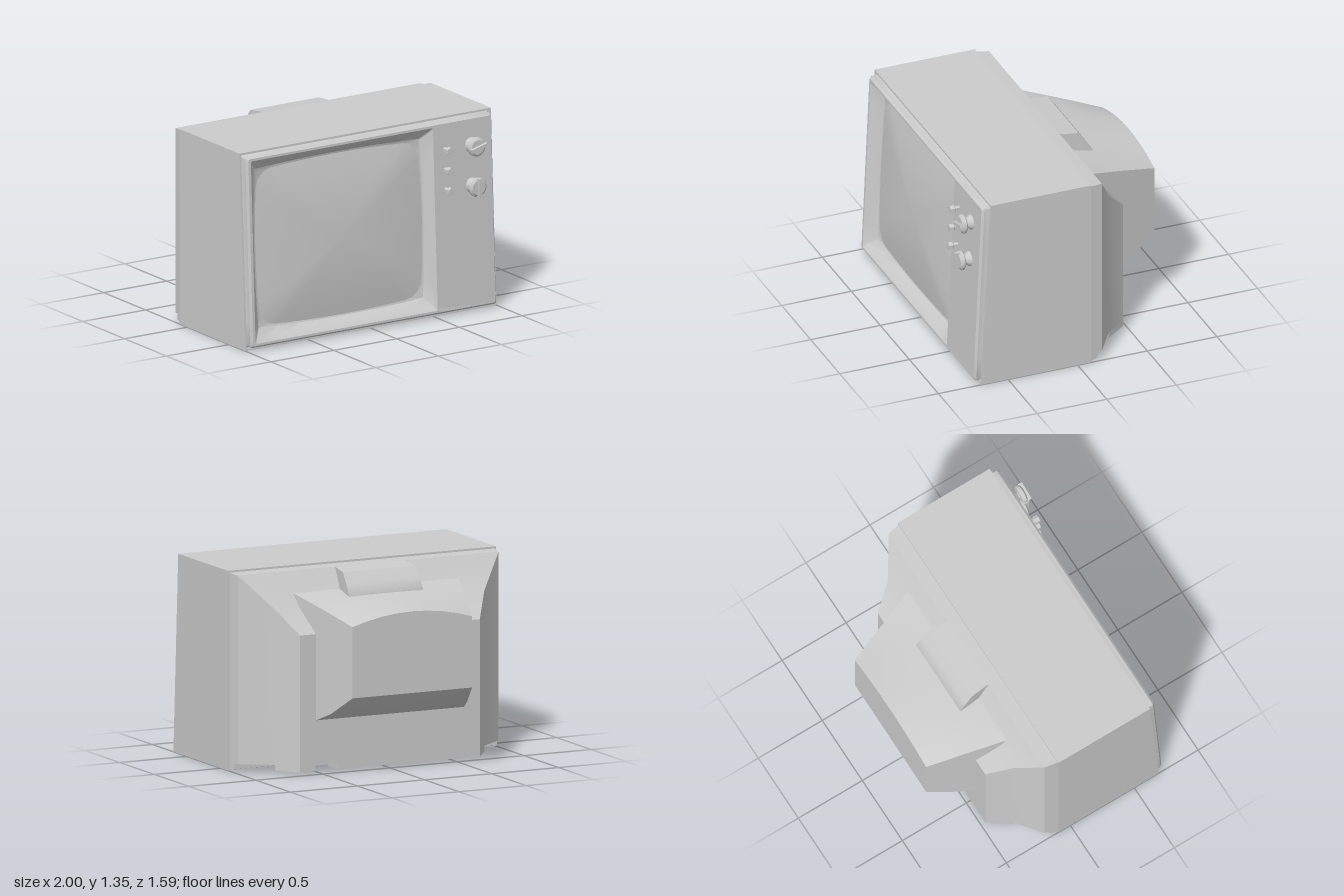
import * as THREE from 'three';
import { toCreasedNormals } from 'three/addons/utils/BufferGeometryUtils.js';

const grey = new THREE.MeshStandardMaterial({ color: 0xcccccc });

function add(parent, name, geometry, x = 0, y = 0, z = 0) {
  const mesh = new THREE.Mesh(geometry, grey);
  mesh.name = name;
  mesh.position.set(x, y, z);
  parent.add(mesh);
  return mesh;
}

// Skin over closed loops, each counterclockwise seen from +z; a start cap faces backwards
function loft(rings, { capStart = false, capEnd = false, crease = 0.5 } = {}) {
  const n = rings[0].length, index = [], pts = rings.flat();
  for (let i = 0; i < rings.length - 1; i++) {
    for (let j = 0; j < n; j++) {
      const a = i * n + j, b = i * n + (j + 1) % n;
      index.push(a, b, b + n, a, b + n, a + n);
    }
  }
  const cap = (start, flip) => {
    const c = new THREE.Vector3();
    for (let j = 0; j < n; j++) c.addScaledVector(pts[start + j], 1 / n);
    pts.push(c);
    for (let j = 0; j < n; j++) {
      const a = start + j, b = start + (j + 1) % n;
      index.push(pts.length - 1, flip ? b : a, flip ? a : b);
    }
  };
  if (capStart) cap(0, true);
  if (capEnd) cap((rings.length - 1) * n, false);
  const g = new THREE.BufferGeometry().setFromPoints(pts);
  g.setIndex(index);
  return toCreasedNormals(g, crease);
}

// Rectangle loop with rounded corners and bowed sides; z is a function of y
function loop(x0, x1, y0, y1, z, r = 0.004, bow = 0) {
  const cx = (x0 + x1) / 2, cy = (y0 + y1) / 2, w = (x1 - x0) / 2, h = (y1 - y0) / 2;
  const flat = [];
  const signs = [[1, -1], [1, 1], [-1, 1], [-1, -1]];
  signs.forEach(([sx, sy], k) => {
    for (let i = 0; i <= 4; i++) {
      const a = (k - 1 + i / 4) * Math.PI / 2;
      flat.push([sx * (w - r) + r * Math.cos(a), sy * (h - r) + r * Math.sin(a)]);
    }
    const [px, py] = flat[flat.length - 1];
    const along = k % 2 === 0 ? [px, -py] : [-px, py];
    for (let i = 1; i < 8; i++) {
      const t = i / 8;
      flat.push([px + (along[0] - px) * t, py + (along[1] - py) * t]);
    }
  });
  return flat.map(([x, y]) => {
    const u = x / w, v = y / h;
    const X = cx + x + u * bow * (1 - v * v), Y = cy + y + v * bow * (1 - u * u);
    return new THREE.Vector3(X, Y, z(Y));
  });
}

const box = (hw, y0, y1, z, cx = 0) => [[hw, y0], [hw, y1], [-hw, y1], [-hw, y0]]
  .map(([x, y]) => new THREE.Vector3(cx + x, y, typeof z === 'function' ? z(y) : z));

export function createModel() {
  const tv = new THREE.Group();
  tv.name = 'television';
  const rim = d => y => 0.693 - 0.052 * y + d;
  const face = d => y => 0.735 - 0.045 * y + d;

  // Outer cabinet sleeve with a leaning front
  add(tv, 'cabinet', loft([
    box(1, 0, 1.345, -0.095), box(1, 0, 1.345, rim(0)),
    box(0.987, 0.014, 1.331, rim(0)), box(0.987, 0.014, 1.331, rim(-0.06)),
  ], { capStart: true }));

  // Front panel with the funnel-shaped screen recess
  add(tv, 'frontPanel', loft([
    loop(-0.988, 0.988, 0.013, 1.332, face(-0.07)),
    loop(-0.978, 0.978, 0.022, 1.324, face(-0.055), 0.015),
    loop(-0.978, 0.978, 0.022, 1.324, face(-0.015), 0.015),
    loop(-0.965, 0.965, 0.035, 1.311, face(0), 0.015),
    loop(-0.945, 0.505, 0.05, 1.295, face(0), 0.015),
    loop(-0.925, 0.485, 0.075, 1.27, face(-0.02), 0.01),
    loop(-0.87, 0.44, 0.13, 1.215, face(-0.075), 0.006, 0.018),
    loop(-0.84, 0.41, 0.16, 1.185, face(-0.08), 0.11, 0.03),
  ], { crease: 0.6 }));

  // Domed picture tube
  const screen = [1, 0.8, 0.6, 0.4, 0.2, 0.02].map(s => loop(
    -0.215 - 0.638 * s, -0.215 + 0.638 * s, 0.672 - 0.525 * s, 0.672 + 0.525 * s,
    face(-0.076 + 0.05 * (1 - s * s)), 0.11 * s, 0.025 * s));
  add(tv, 'screen', loft(screen, { capEnd: true }));

  // Rear housing, tapering behind the cabinet
  add(tv, 'rearHousing', loft([
    box(0.67, 0.055, 0.94, -0.468, -0.016), box(0.78, 0.055, 1.1, -0.32, -0.016),
    box(0.972, 0.055, 1.325, -0.185), box(0.979, 0.055, 1.327, -0.15),
    box(0.979, 0.016, 1.327, -0.15), box(0.99, 0.003, 1.332, -0.09),
  ], { capStart: true, crease: 0.4 }));

  // Lower rear rail, split by a cable notch
  const rail = (rearA, rearB, frontA, frontB) => loft([
    [[rearB, -0.468], [frontB, -0.32], [frontA, -0.32], [rearA, -0.468]],
  ].flatMap(plan => [0.016, 0.056].map(y => plan.map(([x, z]) => new THREE.Vector3(x, y, z)))).reverse(),
  { capStart: true, capEnd: true });
  add(tv, 'rearRail', rail(-0.686, 0.37, -0.796, 0.37));
  add(tv, 'rearRail', rail(0.54, 0.654, 0.54, 0.764));

  // Tube hood with an arched top
  const hood = [[-0.79, 0.55, 1.03, 1.1], [-0.6, 0.42, 1.09, 1.133], [-0.47, 0.36, 1.13, 1.155], [-0.26, 0.3, 1.19, 1.19]]
    .map(([z, bottom, side, mid]) => {
      const hw = 0.445 + (z + 0.79) * 0.33, ring = [new THREE.Vector3(hw - 0.017, bottom, z)];
      for (let i = 0; i <= 8; i++) {
        const u = 1 - i / 4;
        ring.push(new THREE.Vector3(u * hw - 0.017, side + (mid - side) * (1 - u * u), z));
      }
      ring.push(new THREE.Vector3(-hw - 0.017, bottom, z));
      return ring;
    });
  add(tv, 'tubeHood', loft(hood, { capStart: true }));

  // Raised block above the hood
  add(tv, 'hoodBlock', loft([
    box(0.275, 1.1, 1.17, -0.415, -0.015), box(0.274, 1.08, 1.24, -0.37, -0.015),
    box(0.272, 1.08, 1.31, -0.318, -0.015), box(0.262, 1.08, 1.326, -0.18, -0.015),
  ], { capStart: true, crease: 0.7 }));

  // Tuning knobs: flared collar, disc and grip bar
  const turned = (profile, sides) => toCreasedNormals(
    new THREE.LatheGeometry(profile.map(p => new THREE.Vector2(...p)), sides).rotateX(Math.PI / 2), 0.6);
  const knobShape = turned([[0.055, -0.015], [0.05, 0.01], [0.028, 0.035], [0.028, 0.042], [0.055, 0.045],
    [0.066, 0.055], [0.066, 0.07], [0.05, 0.082], [0, 0.082]], 24);
  for (const [y, angle] of [[1.135, 0.26], [0.86, Math.PI / 2]]) {
    const knob = new THREE.Group();
    knob.name = 'tuningKnob';
    knob.position.set(0.805, y, face(0)(y));
    add(knob, 'knobDisc', knobShape);
    add(knob, 'knobGrip', new THREE.BoxGeometry(0.128, 0.022, 0.04), 0, 0, 0.085).rotation.z = angle;
    tv.add(knob);
  }

  // Small six-sided push buttons
  const buttonShape = turned([[0.018, -0.01], [0.018, 0.03], [0.028, 0.036], [0.028, 0.068], [0, 0.068]], 6);
  for (const y of [1.135, 0.997, 0.86]) add(tv, 'pushButton', buttonShape, 0.597, y, face(0)(y));

  return tv;
}
